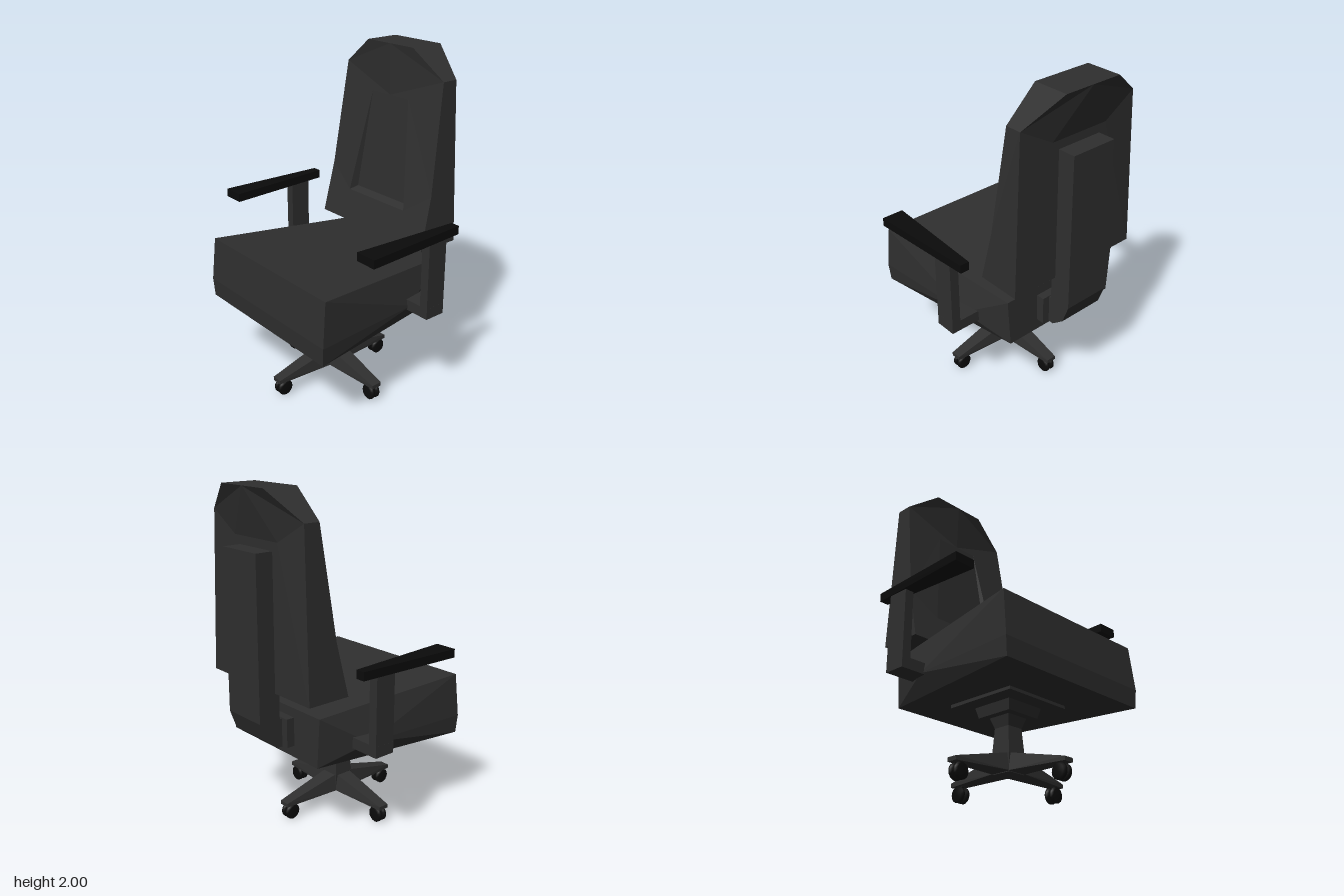
import * as THREE from 'three';
import { ConvexGeometry } from 'three/addons/geometries/ConvexGeometry.js';

const body = new THREE.MeshStandardMaterial({ name: 'charcoal', color: 0x2f2f2f });
const rubber = new THREE.MeshStandardMaterial({ name: 'black rubber', color: 0x0b0b0b });

function add(parent, name, geometry, material = body, x = 0, y = 0, z = 0) {
  const mesh = new THREE.Mesh(geometry, material);
  mesh.name = name;
  mesh.position.set(x, y, z);
  parent.add(mesh);
  return mesh;
}

const hull = (points) => new ConvexGeometry(points.map((p) => new THREE.Vector3(...p)));

// Hull of points given for one side, repeated on the other
const mirroredHull = (points) => hull(points.flatMap(([x, y, z]) => [[x, y, z], [-x, y, z]]));

// Square frustum from half width a at y0 to half width b at y1
const frustum = (a, y0, b, y1) =>
  mirroredHull([[a, y0, a], [a, y0, -a], [b, y1, b], [b, y1, -b]]);

// Flat faces for the +x half, mirrored to the other half
function mirroredFaces(faces) {
  const pos = [];
  for (const f of faces) {
    for (let i = 1; i < f.length - 1; i++) {
      pos.push(...f[0], ...f[i], ...f[i + 1]);
      for (const [x, y, z] of [f[0], f[i + 1], f[i]]) pos.push(-x, y, z);
    }
  }
  const g = new THREE.BufferGeometry();
  g.setAttribute('position', new THREE.Float32BufferAttribute(pos, 3));
  g.computeVertexNormals();
  return g;
}

function backrestGeometry() {
  const c = ([, y, z]) => [0, y, z]; // point on the centre line
  // front outline, bottom to top
  const F0 = [0.44, 0.885, -0.306], F1 = [0.43, 1.2, -0.381];
  const F2 = [0.4, 1.84, -0.471], F3 = [0.185, 2, -0.44];
  // lumbar recess: rim corners and floor corner
  const A = [0.24, 1.07, -0.35], B = [0.15, 1.7, -0.451], a = [0.22, 1.09, -0.4];
  // back outline and lower corner of the overhanging head facet
  const K0 = [0.44, 0.885, -0.578], K2 = [0.4, 1.84, -0.57];
  const K3 = [0.185, 2, -0.658], N = [0.19, 1.72, -0.578];
  return mirroredFaces([
    [c(F0), F0, A, c(A)], [F0, F1, A], [F1, F2, B, A], [F2, F3, c(F3), c(B), B],
    [c(A), A, a, c(a)], [A, B, a], [c(a), a, B, c(B)],
    [F1, F0, K0, K2, F2], [F2, K2, K3, F3], [F3, K3, c(K3), c(F3)],
    [N, K2, K0, c(K0), c(N)], [c(K3), K3, K2, N, c(N)],
    [c(F0), c(K0), K0, F0],
  ]);
}

// Spine that rises behind the backrest and hooks under it to the seat
function spineGeometry() {
  const profile = [[-0.55, 1.67], [-0.685, 1.67], [-0.685, 0.73], [-0.645, 0.62],
    [-0.57, 0.56], [-0.45, 0.56], [-0.45, 0.73], [-0.55, 0.73]];
  const shape = new THREE.Shape(profile.map(([z, y]) => new THREE.Vector2(-z, y)));
  const g = new THREE.ExtrudeGeometry(shape, { depth: 0.29, bevelEnabled: false });
  return g.translate(0, 0, -0.145).rotateY(Math.PI / 2);
}

function addArm(parent, s) {
  const arm = new THREE.Group();
  arm.name = s > 0 ? 'leftArm' : 'rightArm';
  parent.add(arm);
  // pad widens towards the front
  const pad = [];
  for (const y of [1.045, 1.095])
    for (const [x, z] of [[0.589, -0.385], [0.644, -0.385], [0.547, 0.274], [0.678, 0.274]])
      pad.push([s * x, y, z]);
  add(arm, 'armPad', hull(pad), rubber);
  add(arm, 'armPost', new THREE.BoxGeometry(0.055, 0.46, 0.13), body, s * 0.617, 0.815, -0.225);
  add(arm, 'armBracket', new THREE.BoxGeometry(0.235, 0.065, 0.13), body, s * 0.5275, 0.6175, -0.225);
}

function addLeg(parent, i) {
  const leg = new THREE.Group();
  leg.name = 'baseLeg';
  leg.rotation.y = i * Math.PI / 2;
  parent.add(leg);
  add(leg, 'legBeam', mirroredHull([
    [0.065, 0.1, 0], [0.065, 0.1, 0.06], [0.05, 0.2, 0.0], [0.05, 0.2, 0.06],
    [0.032, 0.092, 0.42], [0.032, 0.115, 0.42],
  ]));
  add(leg, 'casterStem', new THREE.CylinderGeometry(0.015, 0.015, 0.06, 8), rubber, 0, 0.07, 0.372);
  // twin caster wheels with rounded rims
  const rim = [[0, -0.016], [0.036, -0.016], [0.047, -0.007], [0.047, 0.007], [0.036, 0.016], [0, 0.016]];
  const wheel = new THREE.LatheGeometry(rim.map((p) => new THREE.Vector2(...p)), 16);
  wheel.rotateZ(Math.PI / 2);
  for (const s of [-1, 1]) add(leg, 'casterWheel', wheel, rubber, s * 0.018, 0.047, 0.372);
}

export function createModel() {
  const model = new THREE.Group();
  model.name = 'officeChair';
  const chair = new THREE.Group();
  chair.name = 'chair';
  chair.position.set(0.018, 0, 0.08);
  chair.rotation.y = -0.079; // the chair is turned slightly
  model.add(chair);

  // Seat cushion: wide at the front, sloping and narrowing to the back
  add(chair, 'seat', mirroredHull([
    [0.53, 0.865, 0.47], [0.54, 0.6, 0.495], [0.53, 0.49, 0.49],
    [0.49, 0.6, -0.19], [0.41, 0.79, -0.485], [0.39, 0.495, -0.485],
  ]));
  add(chair, 'backrest', backrestGeometry());
  add(chair, 'spine', spineGeometry());
  add(chair, 'spineBracket', new THREE.BoxGeometry(0.38, 0.17, 0.07), body, 0, 0.65, -0.5);
  for (const s of [-1, 1]) addArm(chair, s);

  // Tilt mechanism and column
  add(chair, 'seatPlate', new THREE.BoxGeometry(0.45, 0.02, 0.45), body, 0, 0.484, 0);
  add(chair, 'mechanism', frustum(0.115, 0.415, 0.13, 0.475));
  add(chair, 'columnCollar', frustum(0.052, 0.355, 0.072, 0.416));
  add(chair, 'column', frustum(0.063, 0.2, 0.052, 0.356));
  add(chair, 'hub', frustum(0.06, 0.095, 0.063, 0.201));
  for (let i = 0; i < 4; i++) addLeg(chair, i);
  return model;
}
